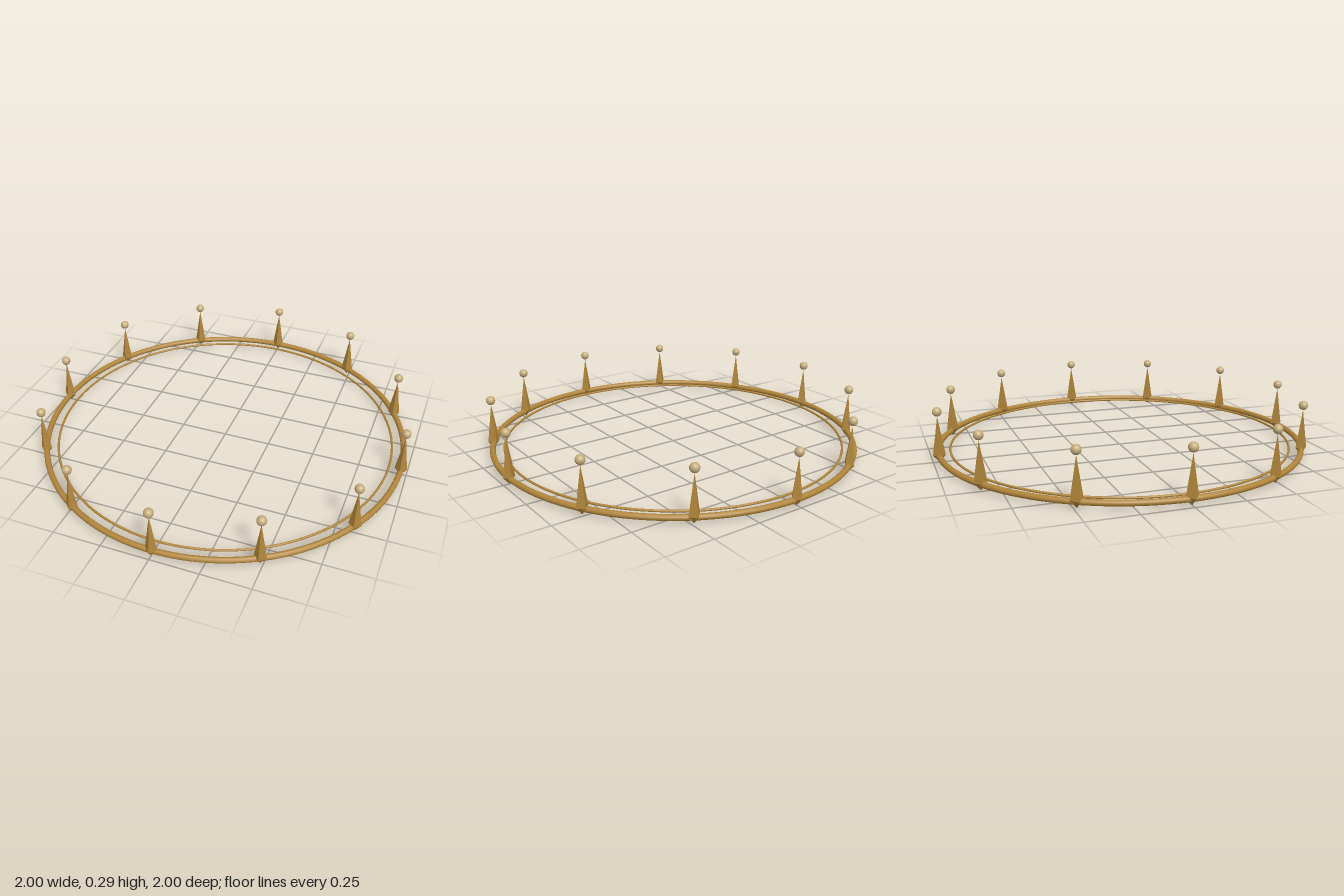
import * as THREE from 'three';

export function createModel() {
  const gold = new THREE.MeshStandardMaterial({ color: 0xb0853a });
  gold.name = 'gold';
  const spikeGold = new THREE.MeshStandardMaterial({ color: 0xb0853a, flatShading: true });
  spikeGold.name = 'facetedGold';
  const pearl = new THREE.MeshStandardMaterial({ color: 0xc6ae7e });
  pearl.name = 'pearl';

  const model = new THREE.Group();
  model.name = 'spikedRing';
  const add = (parent, name, geometry, material, y) => {
    const mesh = new THREE.Mesh(geometry, material);
    mesh.name = name;
    mesh.position.y = y;
    parent.add(mesh);
  };

  // Two concentric hoops lying flat
  const hoop = (radius, tube) => new THREE.TorusGeometry(radius, tube, 12, 128).rotateX(Math.PI / 2);
  add(model, 'outerHoop', hoop(0.968, 0.015), gold, 0.03);
  add(model, 'innerHoop', hoop(0.907, 0.006), gold, 0.03);

  // Four-sided spike: long point up, short point down
  const spike = new THREE.ConeGeometry(0.032, 0.203, 4, 1, true);
  const foot = new THREE.ConeGeometry(0.032, 0.037, 4, 1, true).rotateX(Math.PI);
  const ball = new THREE.SphereGeometry(0.024, 20, 14);

  // Twelve spikes, all keeping the same orientation
  for (let i = 0; i < 12; i++) {
    const a = (i / 12) * Math.PI * 2;
    const post = new THREE.Group();
    post.name = 'post' + (i + 1);
    post.position.set(Math.sin(a) * 0.968, 0, Math.cos(a) * 0.968);
    add(post, 'spike', spike, spikeGold, 0.037 + 0.1015);
    add(post, 'spikeFoot', foot, spikeGold, 0.0185);
    add(post, 'ball', ball, pearl, 0.264);
    model.add(post);
  }
  return model;
}
